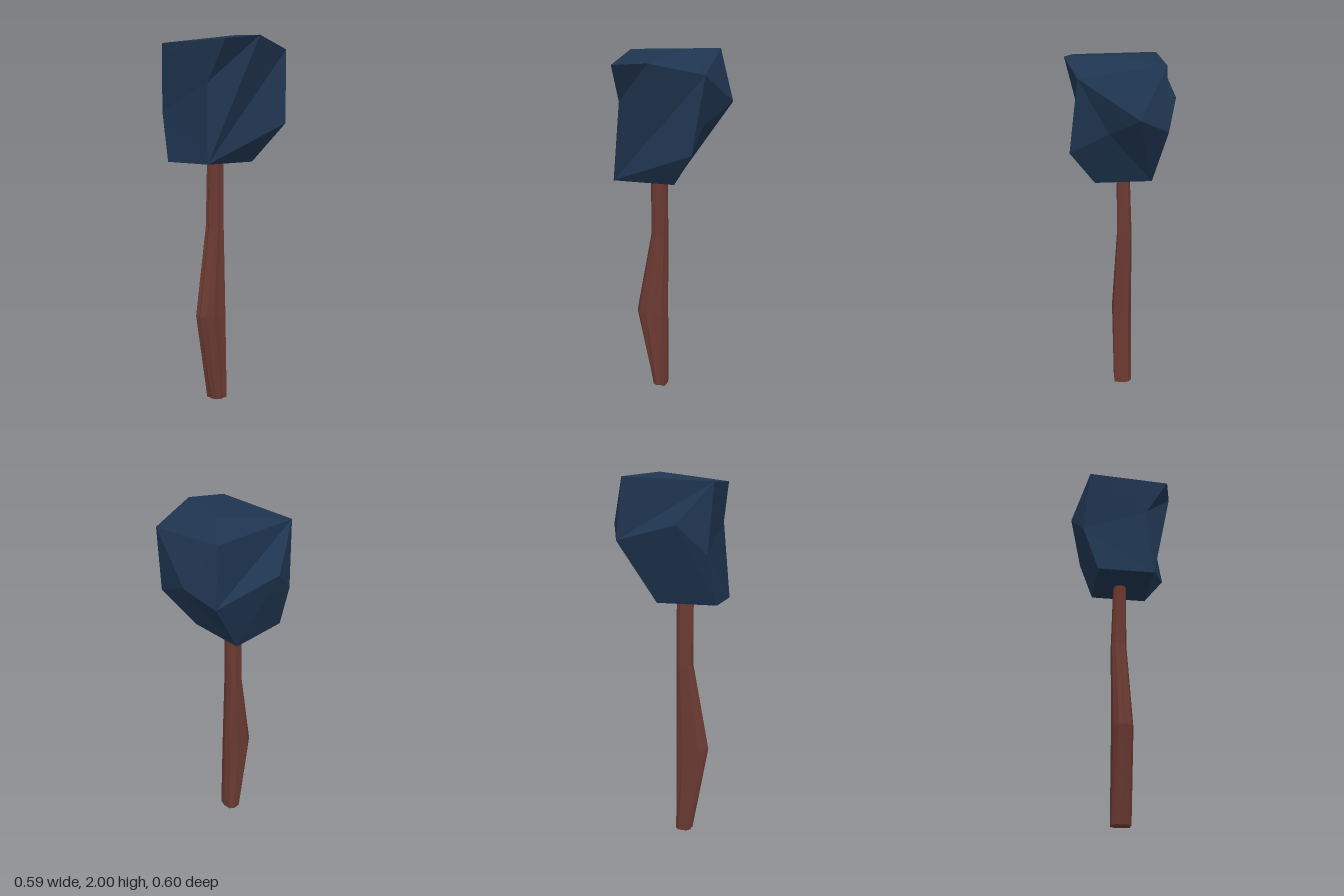
import * as THREE from 'three';

function facetMesh(name, points, faces, color) {
  // Fan every polygon into triangles; unshared corners give flat facets
  const pos = [];
  for (const f of faces)
    for (let i = 1; i < f.length - 1; i++)
      for (const k of [f[0], f[i], f[i + 1]]) pos.push(...points[k]);
  const geo = new THREE.BufferGeometry();
  geo.setAttribute('position', new THREE.Float32BufferAttribute(pos, 3));
  geo.computeVertexNormals();
  const mesh = new THREE.Mesh(geo, new THREE.MeshStandardMaterial({ color, flatShading: true }));
  mesh.name = name;
  return mesh;
}

function createFoliage() {
  const points = [
    [0, 2, -0.06], // 0 peak
    [-0.21, 1.95, 0.28], [0.24, 1.95, 0.265], [0.295, 1.975, 0.07], // 1-5 top rim
    [0.245, 1.92, -0.2], [-0.19, 1.975, -0.21],
    [-0.295, 1.74, 0.105], [-0.24, 1.59, 0.255], [0.115, 1.74, 0.265], // 6-12 middle
    [0.29, 1.53, -0.145], [0.09, 1.63, -0.17], [-0.05, 1.73, -0.3], [-0.2, 1.65, -0.24],
    [-0.16, 1.325, 0.29], [0.145, 1.325, 0.297], // 13-16 underside
    [0.155, 1.325, -0.03], [-0.15, 1.325, -0.035],
  ];
  const faces = [
    [0, 1, 2], [0, 2, 3], [0, 3, 4], [0, 4, 5], [0, 5, 1], // top
    [1, 7, 8], [1, 8, 2], [7, 13, 14], [7, 14, 8], // front
    [2, 8, 3], [3, 8, 14], [3, 14, 4], [4, 14, 9], [9, 14, 15], // +x side
    [4, 9, 10], [4, 10, 11], [4, 11, 5], [5, 11, 12], // back
    [9, 15, 10], [10, 15, 16], [10, 16, 11], [11, 16, 12],
    [5, 12, 1], [1, 12, 6], [1, 6, 7], [12, 16, 6], [6, 16, 13], [6, 13, 7], // -x side
    [13, 16, 15, 14], // underside
  ];
  return facetMesh('foliage', points, faces, 0x1f3550);
}

function createTrunk() {
  // Outline as fractions of each level's width and depth, with shallow bark grooves
  const outline = [
    [0, 0.25], [0, 0.75], [0.2, 0.96], [0.4, 0.93], [0.55, 1], [0.85, 0.9],
    [1, 0.65], [0.95, 0.4], [1, 0.15], [0.6, 0], [0.2, 0.02],
  ];
  // Levels: y, xMin, xMax, zMin, zMax
  const levels = [
    [0, -0.055, 0.047, 0.04, 0.13],
    [0.485, -0.055, 0.05, 0.04, 0.218],
    [0.97, -0.055, 0.025, 0.04, 0.132],
    [1.36, -0.042, 0.025, 0.04, 0.13],
  ];
  const n = outline.length, points = [], faces = [];
  for (const [y, x0, x1, z0, z1] of levels)
    for (const [u, v] of outline) points.push([x0 + u * (x1 - x0), y, z0 + v * (z1 - z0)]);
  for (let l = 0; l < levels.length - 1; l++)
    for (let i = 0; i < n; i++) {
      const a = l * n + i, b = l * n + (i + 1) % n;
      faces.push([a, b, b + n, a + n]);
    }
  // End caps
  const ring = outline.map((_, i) => i);
  faces.push([...ring].reverse(), ring.map(i => i + n * (levels.length - 1)));
  return facetMesh('trunk', points, faces, 0x6b3a32);
}

export function createModel() {
  const tree = new THREE.Group();
  tree.name = 'tree';
  tree.add(createTrunk(), createFoliage());
  return tree;
}
